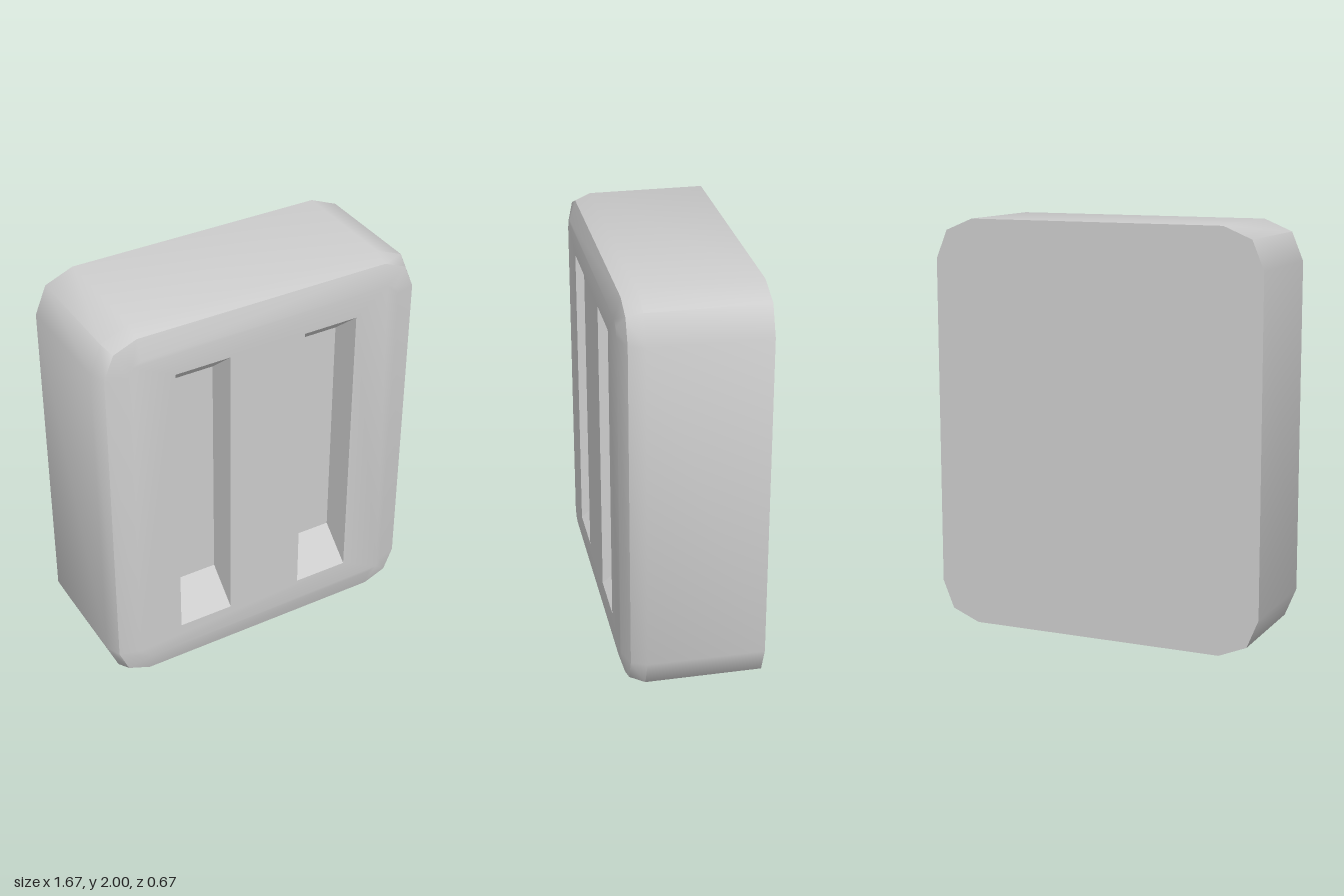
import * as THREE from 'three';
import { toCreasedNormals } from 'three/addons/utils/BufferGeometryUtils.js';

const grey = new THREE.MeshStandardMaterial({ color: 0xcccccc });
grey.name = 'plain grey';

// Chamfered rectangle, counter-clockwise from the front, two facets per corner
function outline(inset) {
  const points = [];
  const r = 0.195 - inset;
  [[1, 1], [-1, 1], [-1, -1], [1, -1]].forEach(([sx, sy], corner) => {
    for (let i = 0; i < 3; i++) {
      const a = (corner + i / 2) * Math.PI / 2;
      points.push(new THREE.Vector2(sx * 0.638 + r * Math.cos(a), 1 + sy * 0.805 + r * Math.sin(a)));
    }
  });
  return points;
}

// Rectangle, counter-clockwise from the front
const rect = (x0, x1, y0, y1) =>
  [[x0, y0], [x1, y0], [x1, y1], [x0, y1]].map(([x, y]) => new THREE.Vector2(x, y));

const atDepth = (points, z) => points.map(p => new THREE.Vector3(p.x, p.y, z));

// Collects triangles from loops and caps, then smooths all but the sharp edges
function surface(name, build) {
  const corners = [];
  const tri = (a, b, c) => corners.push(a, b, c);
  const band = (back, front) => back.forEach((a, i) => {
    const j = (i + 1) % back.length;
    tri(a, back[j], front[j]);
    tri(a, front[j], front[i]);
  });
  const cap = (points, holes, z, facesBack) => {
    const all = atDepth([points, ...holes].flat(), z);
    THREE.ShapeUtils.triangulateShape(points, holes).forEach(([a, b, c]) =>
      facesBack ? tri(all[a], all[c], all[b]) : tri(all[a], all[b], all[c]));
  };
  build(band, cap);
  const geometry = new THREE.BufferGeometry().setFromPoints(corners);
  const mesh = new THREE.Mesh(toCreasedNormals(geometry, 0.8), grey);
  mesh.name = name;
  return mesh;
}

export function createModel() {
  const model = new THREE.Group();
  model.name = 'slottedBlock';

  const frontZ = 0.333;
  const slots = [-1, 1].map(side => ({
    name: side > 0 ? 'leftSlot' : 'rightSlot',
    mouth: rect(side * 0.333 - 0.139, side * 0.333 + 0.139, 0.26, 1.745),
    floor: rect(side * 0.333 - 0.139, side * 0.333 + 0.139, 0.408, 1.6),
  }));

  // Block with a flat back, chamfered front rim and two openings
  model.add(surface('body', (band, cap) => {
    const rings = [[0, -0.333], [0, 0.23], [0.033, 0.303], [0.133, frontZ]];
    for (let i = 0; i < 3; i++) {
      const [back, front] = [rings[i], rings[i + 1]].map(([inset, z]) => atDepth(outline(inset), z));
      band(back, front);
    }
    cap(outline(0), [], -0.333, true);
    cap(outline(0.133), slots.map(s => s.mouth.slice().reverse()), frontZ, false);
  }));

  // Recesses with upright sides and sloping ends
  for (const slot of slots) {
    model.add(surface(slot.name, (band, cap) => {
      const floorZ = frontZ - 0.167;
      band(atDepth(slot.mouth, frontZ), atDepth(slot.floor, floorZ));
      cap(slot.floor, [], floorZ, false);
    }));
  }
  return model;
}
